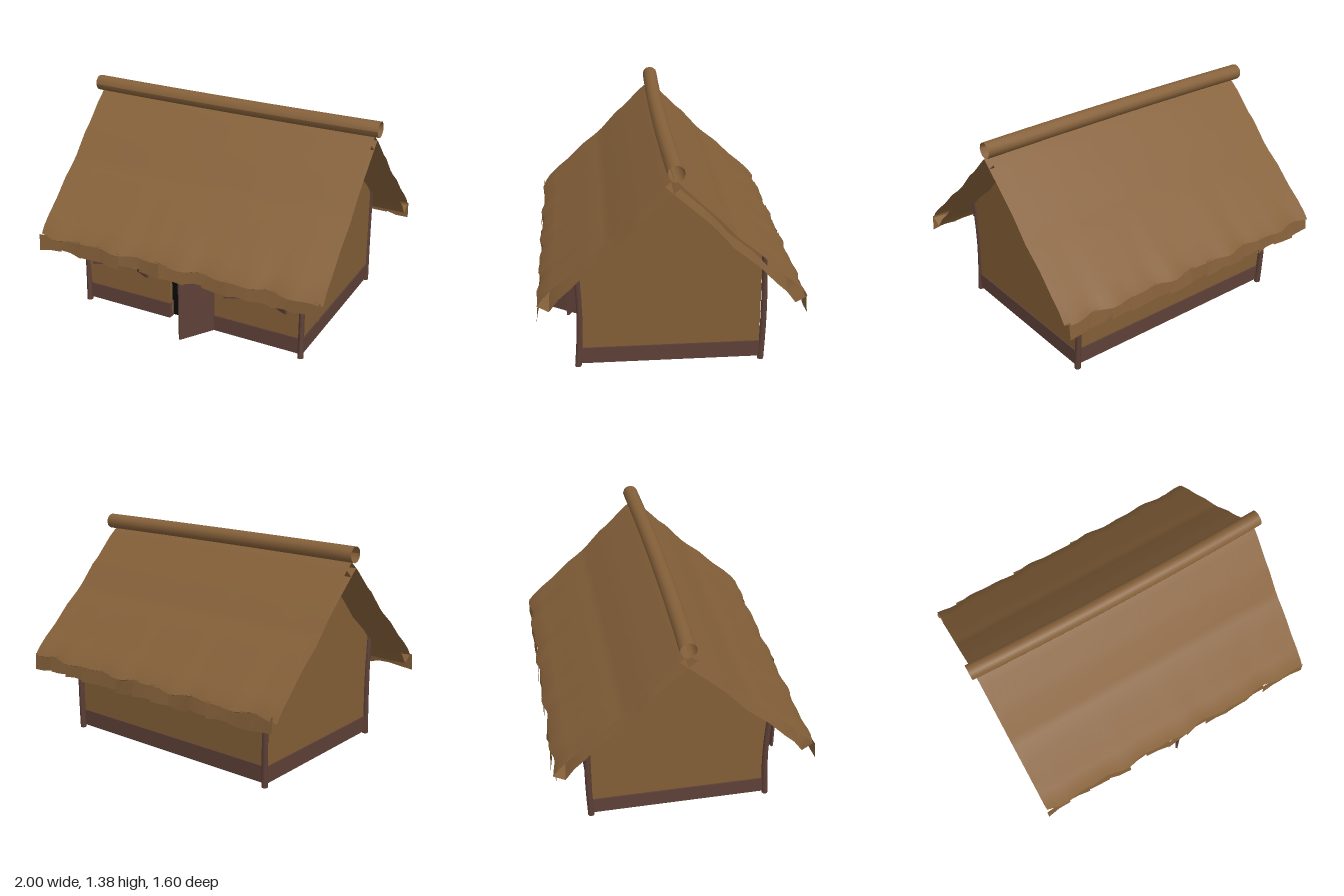
import * as THREE from 'three';

export function createModel() {
  const model = new THREE.Group();
  const material = (name, color) => {
    const m = new THREE.MeshStandardMaterial({ color, side: THREE.DoubleSide });
    m.name = name;
    return m;
  };
  const thatch = material('straw brown', 0x86613a);
  const clay = material('clay brown', 0x825e36);
  const wood = material('dark wood', 0x5d4037);
  const black = material('floor black', 0x050505);

  const add = (name, geometry, mat, x = 0, y = 0, z = 0) => {
    const mesh = new THREE.Mesh(geometry, mat);
    mesh.name = name;
    mesh.position.set(x, y, z);
    model.add(mesh);
    return mesh;
  };
  let seed = 7;
  const rand = () => (seed = (seed * 16807) % 2147483647) / 2147483647;

  const W = 0.775, D = 0.55, T = 0.03, EAVE = 0.7;
  const doorL = -0.15, doorR = 0.17;

  // Walls, drawn as outlines and given a thickness
  const outline = (pts) => new THREE.Shape(pts.map(([x, y]) => new THREE.Vector2(x, y)));
  const wall = (shape) => new THREE.ExtrudeGeometry(shape, { depth: T, bevelEnabled: false });
  const front = outline([[-W, 0.05], [doorL, 0.05], [doorL, 0.52], [doorR, 0.52],
    [doorR, 0.05], [W, 0.05], [W, EAVE], [-W, EAVE]]);
  const windows = [[-0.59, -0.38], [0.38, 0.59]];
  for (const [a, b] of windows) {
    front.holes.push(outline([[a, 0.31], [a, 0.49], [b, 0.49], [b, 0.31]]));
  }
  add('frontWall', wall(front), clay, 0, 0, D - T);
  add('backWall', wall(outline([[-W, 0.05], [W, 0.05], [W, EAVE], [-W, EAVE]])), clay, 0, 0, -D);
  for (const side of [-1, 1]) {
    const gable = outline([[-D, 0.05], [D, 0.05], [D, EAVE], [0, 1.22], [-D, EAVE]]);
    const mesh = add('gableWall', wall(gable), clay, side > 0 ? W - T : -W, 0, 0);
    mesh.rotation.y = Math.PI / 2;
  }

  // Baseboards, open at the doorway
  const board = (x0, x1, z0, z1) => add('baseboard',
    new THREE.BoxGeometry(x1 - x0, 0.105, z1 - z0), wood, (x0 + x1) / 2, 0.0725, (z0 + z1) / 2);
  board(-W, doorL, D - 0.045, D + 0.008);
  board(doorR, W, D - 0.045, D + 0.008);
  board(-W, W, -D - 0.008, -D + 0.045);
  for (const s of [-1, 1]) {
    const a = s * (W + 0.008), b = s * (W - 0.045);
    board(Math.min(a, b), Math.max(a, b), -D, D);
  }
  add('floor', new THREE.BoxGeometry(1.47, 0.006, 1.02), black, 0, 0.026, 0);

  // Slightly bowed corner posts
  for (const sx of [-1, 1]) for (const sz of [-1, 1]) {
    const geo = new THREE.CylinderGeometry(0.017, 0.02, 0.7, 8, 6);
    const p = geo.attributes.position;
    for (let i = 0; i < p.count; i++) {
      const bow = Math.sin((p.getY(i) / 0.7 + 0.5) * Math.PI);
      p.setZ(i, p.getZ(i) - 0.018 * bow * (sz > 0 ? 1 : 0.6));
      p.setX(i, p.getX(i) - 0.006 * bow);
    }
    geo.computeVertexNormals();
    add('cornerPost', geo, wood, sx * 0.775, 0.35, sz * 0.562);
  }

  // Hinged panel between two points on the ground plan
  const panel = (name, x0, z0, x1, z1, y0, y1) => {
    const len = Math.hypot(x1 - x0, z1 - z0);
    const mesh = add(name, new THREE.BoxGeometry(len, y1 - y0, 0.014), wood,
      (x0 + x1) / 2, (y0 + y1) / 2, (z0 + z1) / 2);
    mesh.rotation.y = -Math.atan2(z1 - z0, x1 - x0);
  };
  panel('door', doorR, D, 0.035, 0.755, 0.02, 0.52);
  for (const [a, b] of windows) {
    panel('shutter', a, 0.565, a - 0.105, 0.615, 0.31, 0.49);
    panel('shutter', b, 0.565, b + 0.105, 0.615, 0.31, 0.49);
  }

  // Thatch sheets: a slope profile of [z, y] swept along x, wavier near the eave
  const ripple = (x) => 0.008 * Math.sin(x * 15) + 0.006 * Math.sin(x * 27 + 1);
  const sheet = (name, profile, side, waves) => {
    const rows = profile.length - 1;
    const geo = new THREE.PlaneGeometry(1.94, 1, 40, rows);
    const p = geo.attributes.position;
    for (let i = 0; i < p.count; i++) {
      const row = Math.floor(i / 41), x = p.getX(i);
      const [z, y] = profile[row];
      const w = ripple(x + side * 0.3) * waves[row];
      p.setXYZ(i, x, y + w * 0.6, side * (z - w));
    }
    geo.computeVertexNormals();
    add(name, geo, thatch);
  };
  const outer = [[0, 1.283], [0.07, 1.225], [0.19, 1.1], [0.24, 1.06], [0.35, 0.935], [0.4, 0.89],
    [0.49, 0.82], [0.6, 0.71], [0.69, 0.635], [0.75, 0.575], [0.782, 0.53]];
  const inner = [[-0.05, 1.24], [0, 1.195], [0.19, 1.025], [0.24, 0.975], [0.35, 0.85],
    [0.49, 0.735], [0.6, 0.62], [0.66, 0.565], [0.715, 0.49]];
  for (const side of [-1, 1]) {
    sheet('roofThatch', outer, side, outer.map((_, i) => (i / 10) ** 3));
    sheet('roofLining', inner, side, inner.map((_, i) => (i / 8) ** 3 * 0.6));
    sheet('eaveEdge', [[0.782, 0.53], [0.715, 0.49]], side, [1, 0.6]);

    // Ragged straw fringe under the eave
    const count = 13, step = 1.94 / count;
    for (let i = 0; i < count; i++) {
      const geo = new THREE.PlaneGeometry(step + 0.015, 0.1, 2, 1);
      const p = geo.attributes.position;
      for (let k = 0; k < p.count; k++) {
        if (p.getY(k) < 0) {
          p.setY(k, p.getY(k) + (rand() - 0.5) * 0.025);
          p.setZ(k, 0.004 + rand() * 0.012);
        }
      }
      geo.computeVertexNormals();
      const x = -0.97 + step * (i + 0.5);
      const mesh = add('eaveFringe', geo, thatch, x, 0.49 + ripple(x + side * 0.3) * 0.6,
        side * (0.772 - ripple(x + side * 0.3)));
      mesh.rotation.y = (side > 0 ? 0 : Math.PI) + (rand() - 0.5) * 0.24;
    }
  }

  // Hollow ridge roll, slightly bent
  const ridge = new THREE.CylinderGeometry(0.05, 0.05, 2, 12, 10, true);
  ridge.rotateZ(Math.PI / 2);
  const r = ridge.attributes.position;
  for (let i = 0; i < r.count; i++) {
    const x = r.getX(i);
    r.setZ(i, r.getZ(i) + 0.006 - 0.016 * x * x);
    r.setY(i, r.getY(i) - 0.003 * x);
  }
  ridge.computeVertexNormals();
  add('ridgeRoll', ridge, thatch, 0, 1.33, 0);

  return model;
}
